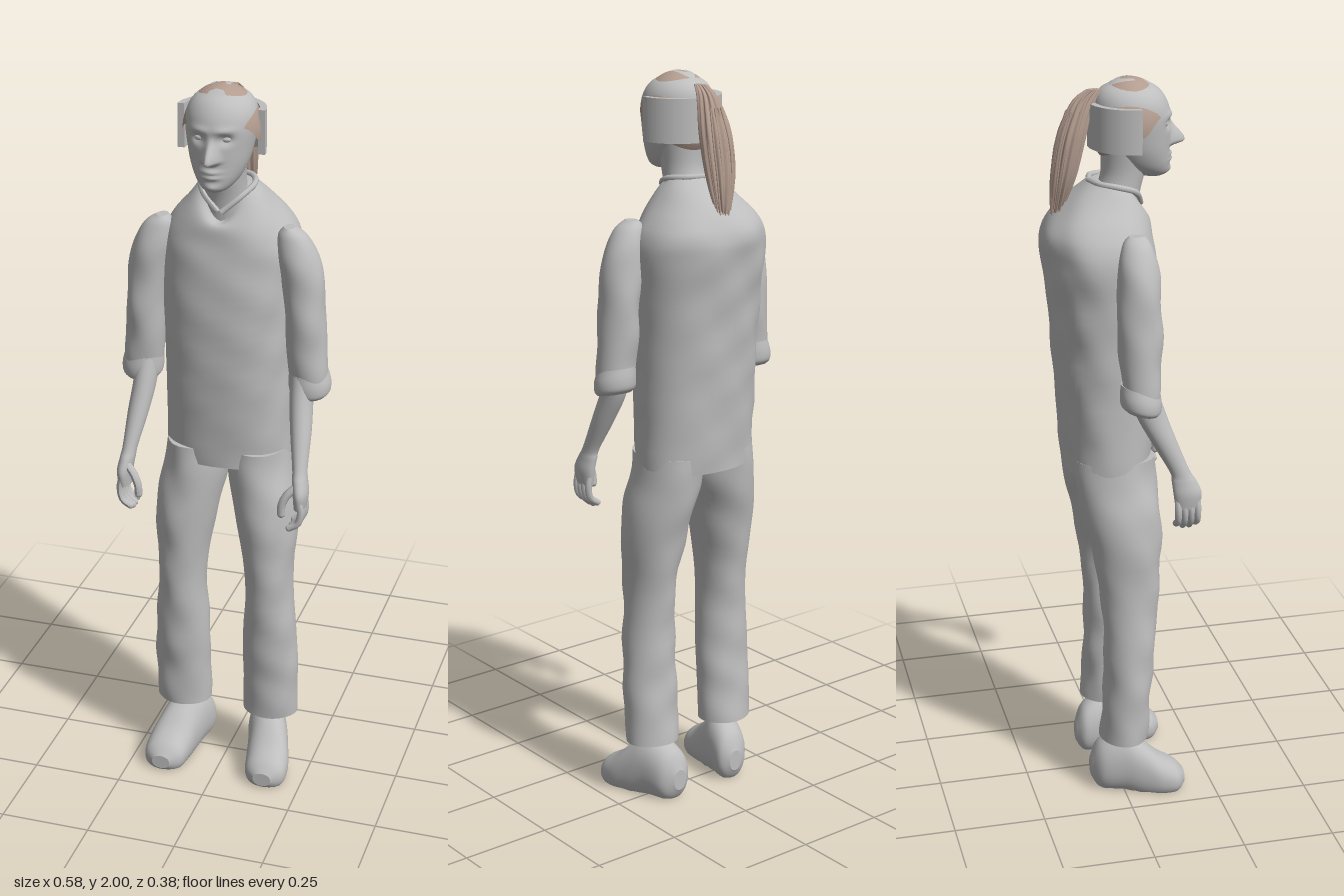
import * as THREE from 'three';

const grey = new THREE.MeshStandardMaterial({ color: 0xbebebe });
grey.name = 'plain grey';
const brown = new THREE.MeshStandardMaterial({ color: 0xb39c8f });
brown.name = 'hair brown';

const bump = (d, w) => Math.exp(-((d / w) ** 2));
const cubic = (a, b, c, d, t) =>
  b + 0.5 * t * (c - a + t * (2 * a - 5 * b + 4 * c - d + t * (3 * (b - c) + d - a)));

// Closed skin through oval sections [y, centreX, centreZ, radiusX, radiusZ], listed upwards
function loft(rows, { seg = 40, steps = 6, power = 2, warp } = {}) {
  const sections = [];
  const last = rows.length - 1;
  for (let i = 0; i < last; i++) {
    for (let k = 0; k < steps; k++) {
      const q = [Math.max(i - 1, 0), i, i + 1, Math.min(i + 2, last)].map((n) => rows[n]);
      sections.push(rows[0].map((_, c) => cubic(q[0][c], q[1][c], q[2][c], q[3][c], k / steps)));
    }
  }
  sections.push(rows[last]);
  const flat = (s) => [s[0], s[1], s[2], 0, 0];
  const first = sections[0], end = rows[last];
  const all = [flat(first), first, ...sections, end, flat(end)];
  const pos = [], index = [];
  const round = (v) => Math.sign(v) * Math.abs(v) ** (2 / power);
  all.forEach(([y, cx, cz, rx, rz], i) => {
    for (let j = 0; j < seg; j++) {
      const a = (j / seg) * Math.PI * 2;
      const p = new THREE.Vector3(cx + rx * round(Math.cos(a)), y, cz + rz * round(Math.sin(a)));
      if (warp) warp(p, a);
      pos.push(p.x, p.y, p.z);
      if (i === all.length - 1) continue;
      const k = (j + 1) % seg, r = i * seg, u = r + seg;
      index.push(r + j, u + j, r + k, r + k, u + j, u + k);
    }
  });
  const g = new THREE.BufferGeometry();
  g.setAttribute('position', new THREE.Float32BufferAttribute(pos, 3));
  g.setIndex(index);
  g.computeVertexNormals();
  return g;
}

// Mirror a geometry across x and restore its winding
function mirrored(geometry) {
  const g = geometry.clone().scale(-1, 1, 1);
  const ix = g.index.array;
  for (let i = 0; i < ix.length; i += 3) [ix[i], ix[i + 1]] = [ix[i + 1], ix[i]];
  g.computeVertexNormals();
  return g;
}

// Soft cloth wrinkles
const wrinkle = (size) => (p) => {
  const w = size * (Math.sin(p.y * 47 + p.x * 25) + Math.sin(p.y * 29 - p.x * 41 + p.z * 33));
  p.x += w * 0.6;
  p.z += w;
};

const finger = (points, radius) =>
  new THREE.TubeGeometry(new THREE.CatmullRomCurve3(points.map((p) => new THREE.Vector3(...p))), 10, radius, 8);

export function createModel() {
  const model = new THREE.Group();
  model.name = 'standingFigure';
  const add = (name, geometry, material = grey) => {
    const mesh = new THREE.Mesh(geometry, material);
    mesh.name = name;
    model.add(mesh);
    return mesh;
  };
  const pair = (name, geometry) => {
    add('left' + name, geometry);
    add('right' + name, mirrored(geometry));
  };

  // Shirt, with the neckline dipping to a V at the front
  const cloth = wrinkle(0.0015);
  add('shirt', loft([
    [0.955, 0, -0.02, 0.172, 0.115], [1.2, 0, -0.02, 0.172, 0.133], [1.4, 0, -0.025, 0.178, 0.143],
    [1.53, 0, -0.037, 0.185, 0.146], [1.59, 0, -0.043, 0.178, 0.144], [1.635, 0, -0.038, 0.152, 0.132],
    [1.685, 0, -0.025, 0.11, 0.102], [1.735, 0, -0.005, 0.07, 0.06],
  ], { seg: 64, power: 2.25, warp: (p) => {
    cloth(p);
    if (p.z > 0) p.y -= 0.075 * bump(p.x, 0.045) * THREE.MathUtils.smoothstep(p.y, 1.62, 1.735);
  } }));

  // Folded collar halves
  pair('Collar', new THREE.TubeGeometry(new THREE.CatmullRomCurve3([
    [0, 1.738, -0.062], [0.05, 1.738, -0.045], [0.072, 1.732, 0], [0.05, 1.71, 0.052], [0.004, 1.67, 0.076],
  ].map((p) => new THREE.Vector3(...p))), 20, 0.008, 8));

  // Neck
  add('neck', loft([
    [1.62, 0, 0.005, 0.065, 0.06], [1.7, 0, 0.015, 0.058, 0.058], [1.76, 0, 0.03, 0.056, 0.058],
    [1.83, 0, 0.035, 0.064, 0.066],
  ]));

  // Head with brow, eye sockets, nose and lips raised from the oval
  const step = THREE.MathUtils.smoothstep;
  add('head', loft([
    [1.742, 0, 0.11, 0.02, 0.025], [1.752, 0, 0.1, 0.038, 0.048], [1.775, 0, 0.082, 0.058, 0.07],
    [1.81, 0, 0.07, 0.074, 0.081], [1.85, 0, 0.06, 0.084, 0.092], [1.9, 0, 0.054, 0.091, 0.099],
    [1.94, 0, 0.048, 0.088, 0.094], [1.97, 0, 0.045, 0.069, 0.075], [1.988, 0, 0.045, 0.035, 0.04],
    [1.992, 0, 0.045, 0.005, 0.005],
  ], { seg: 96, steps: 10, warp: (p) => {
    if (p.z < 0.08) return;
    const nose = step(p.y, 1.812, 1.828) * (1 - step(p.y, 1.828, 1.893));
    const side = Math.abs(p.x);
    p.z += 0.042 * nose * bump(p.x, 0.008 + 0.009 * nose)
      - 0.013 * bump(side - 0.035, 0.018) * bump(p.y - 1.882, 0.013)
      + 0.005 * bump(side - 0.032, 0.026) * bump(p.y - 1.905, 0.009)
      + 0.008 * bump(p.x, 0.022) * (bump(p.y - 1.799, 0.006) + bump(p.y - 1.785, 0.006))
      + 0.006 * bump(p.x, 0.02) * bump(p.y - 1.758, 0.01);
  } }));
  pair('Eye', new THREE.SphereGeometry(0.011, 16, 12).scale(1.25, 0.75, 0.8).translate(0.034, 1.882, 0.13));

  // Hair cap, cut high over the face and low on the nape
  const hairY = (x, z) => 1.88 + 0.12 * Math.sqrt(1 - (x / 0.102) ** 2 - ((z - 0.045) / 0.102) ** 2);
  const cap = new THREE.SphereGeometry(1, 64, 24, 0, Math.PI * 2, 0, Math.PI / 2);
  const cp = cap.attributes.position, uv = cap.attributes.uv;
  for (let i = 0; i < cp.count; i++) {
    const a = uv.getX(i) * Math.PI * 2, front = Math.sin(a);
    const limit = front > 0 ? 1.72 - 0.72 * front ** 1.5 + 0.04 * Math.sin(a * 9) : 1.72 - 0.55 * front;
    const phi = (1 - uv.getY(i)) * limit;
    cp.setXYZ(i, 0.102 * Math.sin(phi) * Math.cos(a), 1.88 + 0.12 * Math.cos(phi),
      0.045 + 0.102 * Math.sin(phi) * front);
  }
  // Angles run the other way round here, so the winding is swapped
  const ci = cap.index.array;
  for (let i = 0; i < ci.length; i += 3) [ci[i], ci[i + 1]] = [ci[i + 1], ci[i]];
  cap.computeVertexNormals();
  const hairMaterial = brown;
  hairMaterial.side = THREE.DoubleSide;
  add('hairCap', cap, hairMaterial);

  // Bare patches on the crown
  const patch = (name, g) => {
    const p = g.attributes.position;
    for (let i = 0; i < p.count; i++) {
      const x = p.getX(i), z = -p.getY(i);
      p.setXYZ(i, x, hairY(x, z) + 0.0015, z);
    }
    g.computeVertexNormals();
    add(name, g);
  };
  patch('crownArch', new THREE.RingGeometry(0.55, 1, 24, 4, 0, Math.PI).scale(0.026, 0.062, 1).translate(-0.005, -0.053, 0));
  patch('crownSpot', new THREE.CircleGeometry(1, 7).scale(0.024, 0.014, 1).translate(-0.002, -0.093, 0));

  // Band wrapped round the back of the head
  const arc = new THREE.Shape();
  arc.absarc(0, 0, 0.115, 0, Math.PI, false);
  arc.absarc(0, 0, 0.097, Math.PI, 0, true);
  add('headBand', new THREE.ExtrudeGeometry(arc, { depth: 0.115, bevelEnabled: false, curveSegments: 32 })
    .rotateX(-Math.PI / 2).translate(-0.003, 1.825, 0.052));

  // Ponytail with strand ridges and loose ends
  add('ponytail', loft([
    [1.645, 0.008, -0.148, 0.008, 0.008], [1.69, 0.005, -0.14, 0.026, 0.02], [1.76, 0, -0.126, 0.04, 0.032],
    [1.85, 0, -0.107, 0.042, 0.036], [1.91, 0, -0.088, 0.032, 0.032], [1.95, 0, -0.068, 0.02, 0.028],
    [1.972, 0, -0.045, 0.012, 0.018],
  ], { seg: 72, warp: (p, a) => {
    p.x += 0.003 * Math.cos(a * 12) * Math.cos(a);
    p.z += 0.003 * Math.cos(a * 12) * Math.sin(a);
  } }), brown);
  for (let i = 0; i < 9; i++) {
    const a = Math.PI + (i / 8) * Math.PI, c = Math.cos(a), s = Math.sin(a);
    add('looseStrand', finger([
      [0.026 * c, 1.92, -0.088 + 0.03 * s], [0.042 * c, 1.83, -0.112 + 0.036 * s],
      [0.038 * c, 1.74, -0.13 + 0.028 * s], [0.022 * c + 0.006, 1.65 + 0.01 * (i % 3), -0.145 + 0.014 * s],
    ], 0.0025), brown);
  }

  // Sleeves with rolled cuffs
  pair('Sleeve', loft([
    [1.195, 0.231, 0.022, 0.05, 0.046], [1.3, 0.222, 0.024, 0.054, 0.054], [1.4, 0.217, 0.022, 0.053, 0.058],
    [1.5, 0.206, 0.022, 0.056, 0.056], [1.56, 0.194, 0.023, 0.055, 0.05], [1.61, 0.18, 0.024, 0.038, 0.038],
    [1.632, 0.172, 0.025, 0.014, 0.022],
  ], { warp: wrinkle(0.0015) }));
  pair('Cuff', loft([
    [1.178, 0.232, 0.024, 0.046, 0.042], [1.19, 0.232, 0.022, 0.055, 0.052], [1.215, 0.231, 0.022, 0.056, 0.054],
    [1.245, 0.227, 0.022, 0.051, 0.05],
  ], { warp: (p) => { p.y -= 0.2 * (p.z - 0.02); } }));

  // Forearm running forward into the palm
  pair('Forearm', loft([
    [0.9, 0.244, 0.147, 0.016, 0.032], [0.94, 0.245, 0.147, 0.02, 0.038], [0.975, 0.24, 0.138, 0.02, 0.033],
    [1.005, 0.236, 0.126, 0.02, 0.027], [1.09, 0.226, 0.085, 0.028, 0.034], [1.17, 0.217, 0.05, 0.031, 0.04],
    [1.25, 0.215, 0.028, 0.032, 0.036],
  ]));

  // Curled fingers and thumb
  for (let i = 0; i < 4; i++) {
    const z = 0.121 + i * 0.0175, low = 0.838 + 0.006 * Math.abs(i - 1.5);
    pair('Finger', finger([[0.245, 0.93, z], [0.252, 0.895, z], [0.244, 0.862, z + 0.001], [0.222, low, z + 0.002]], 0.0095));
    pair('Fingertip', new THREE.SphereGeometry(0.0095, 10, 8).translate(0.222, low, z + 0.002));
  }
  pair('Thumb', finger([[0.238, 0.965, 0.158], [0.212, 0.938, 0.17], [0.2, 0.91, 0.174], [0.199, 0.885, 0.173]], 0.011));
  pair('ThumbTip', new THREE.SphereGeometry(0.011, 10, 8).translate(0.199, 0.885, 0.173));

  // Trouser legs
  pair('TrouserLeg', loft([
    [0.168, 0.128, 0.004, 0.078, 0.066], [0.28, 0.129, 0.01, 0.078, 0.066], [0.4, 0.128, 0.017, 0.077, 0.068],
    [0.6, 0.125, 0.02, 0.066, 0.08], [0.8, 0.113, 0.007, 0.087, 0.102], [0.92, 0.091, -0.01, 0.089, 0.11],
    [1.0, 0.086, -0.014, 0.083, 0.11],
  ], { warp: wrinkle(0.0015) }));

  // Shoes, lofted from heel to toe with a flat sole
  pair('Shoe', loft([
    [-0.085, 0.1, -0.06, 0.02, 0.03], [-0.06, 0.105, -0.068, 0.05, 0.073], [0, 0.12, -0.08, 0.058, 0.092],
    [0.05, 0.135, -0.06, 0.06, 0.086], [0.1, 0.146, -0.04, 0.062, 0.064], [0.145, 0.15, -0.03, 0.055, 0.046],
    [0.17, 0.15, -0.028, 0.026, 0.02],
  ], { power: 2.2, warp: (p) => { p.z = Math.min(p.z, 0); } }).rotateX(Math.PI / 2));

  return model;
}
